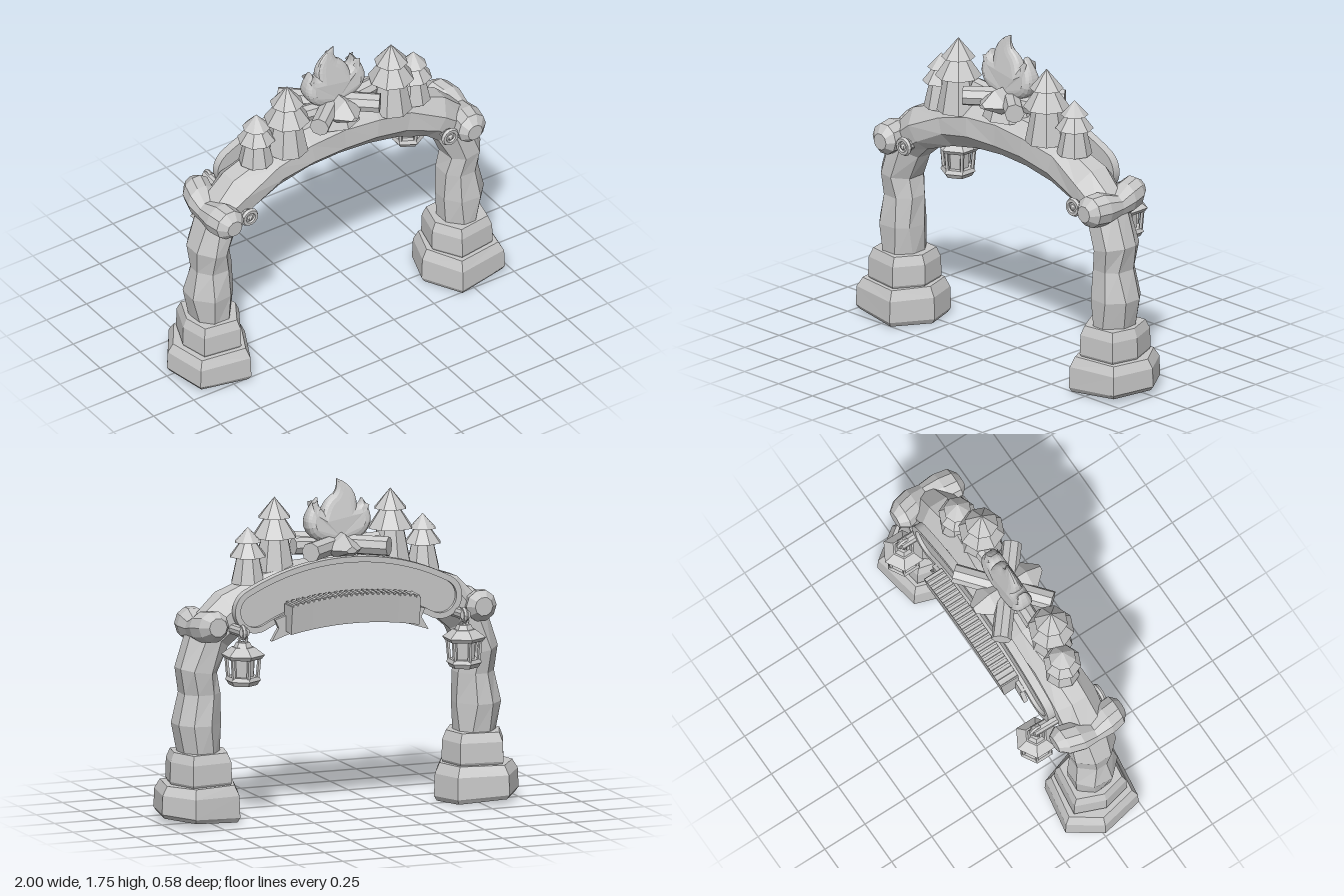
import * as THREE from 'three';

const stone = new THREE.MeshStandardMaterial({ color: 0xc8c8c8, flatShading: true, side: THREE.DoubleSide });
stone.name = 'plain grey';

const V = (x, y, z) => new THREE.Vector3(x, y, z);
const hash = (n) => { const s = Math.sin(n * 12.9898) * 43758.5453; return (s - Math.floor(s)) * 2 - 1; };

function add(parent, name, geo, x = 0, y = 0, z = 0) {
  const m = new THREE.Mesh(geo, stone);
  m.name = name;
  m.position.set(x, y, z);
  parent.add(m);
  return m;
}

// Skin over a list of rings with equal point counts, closed at both ends
function loft(rings) {
  const n = rings[0].length, pos = [], idx = [];
  rings.forEach((r) => r.forEach((p) => pos.push(p.x, p.y, p.z)));
  for (let i = 0; i < rings.length - 1; i++) {
    for (let j = 0; j < n; j++) {
      const a = i * n + j, b = i * n + (j + 1) % n, c = a + n, d = b + n;
      idx.push(a, c, b, b, c, d);
    }
  }
  const last = (rings.length - 1) * n;
  for (let j = 1; j < n - 1; j++) idx.push(0, j, j + 1, last, last + j + 1, last + j);
  const g = new THREE.BufferGeometry();
  g.setAttribute('position', new THREE.Float32BufferAttribute(pos, 3));
  g.setIndex(idx);
  const flat = g.toNonIndexed();
  flat.computeVertexNormals();
  return flat;
}

// Straight round bar from a to b
function bar(parent, name, a, b, r, sides = 8) {
  const m = add(parent, name, new THREE.CylinderGeometry(r, r, a.distanceTo(b), sides));
  m.position.copy(a).lerp(b, 0.5);
  m.quaternion.setFromUnitVectors(V(0, 1, 0), b.clone().sub(a).normalize());
  return m;
}

// Chamfered irregular block from a plan outline of [x, z] points
function block(parent, name, plan, cx, cz, y0, y1, tilt) {
  const h = y1 - y0;
  const steps = [[0, 0.93], [0.13, 1], [0.72, 0.98], [1, 0.86]];
  add(parent, name, loft(steps.map(([t, s]) => plan.map(([x, z]) =>
    V(cx + (x - cx) * s, y0 + t * h + (1 - t) * tilt * (x - cx), cz + (z - cz) * s)))));
}

// Faceted arch: [x, y, half thickness, half depth] for one side, then mirrored
function arch(parent) {
  const half = [[0.77, 0.33, 0.1, 0.115], [0.785, 0.52, 0.122, 0.13], [0.768, 0.68, 0.103, 0.11],
    [0.787, 0.8, 0.103, 0.125], [0.72, 0.98, 0.115, 0.115], [0.6, 1.09, 0.12, 0.125],
    [0.4, 1.165, 0.12, 0.11], [0.2, 1.21, 0.122, 0.12], [0, 1.222, 0.122, 0.115]];
  const path = [...half, ...half.slice(0, -1).reverse().map(([x, ...r]) => [-x, ...r])];
  const rings = path.map(([x, y, r, d], i) => {
    const p = path[Math.max(i - 1, 0)], q = path[Math.min(i + 1, path.length - 1)];
    const t = V(q[0] - p[0], q[1] - p[1], 0).normalize();
    return Array.from({ length: 8 }, (_, j) => {
      const a = (j + 0.5) * Math.PI / 4 + hash(i * 8 + j) * 0.13;
      const u = Math.cos(a) * r * 1.06, w = Math.sin(a) * d * 1.06;
      return V(x + t.y * u, y - t.x * u, 0.06 + w);
    });
  });
  add(parent, 'arch', loft(rings));
}

// Pine tree of two cones over a flared skirt
function pine(parent, x, z, base, tip, r) {
  const h = tip - base, g = new THREE.Group();
  g.name = 'pineTree';
  g.position.set(x, base, z);
  parent.add(g);
  const tier = (y0, y1, r0, r1) => add(g, 'foliage', new THREE.CylinderGeometry(r1, r0, (y1 - y0) * h, 8), 0, (y0 + y1) / 2 * h, 0);
  tier(-0.05, 0.55, r * 0.93, r * 0.55);
  tier(0.45, 0.78, r, r * 0.3);
  tier(0.72, 1, r * 0.73, 0);
}

function lantern(parent, x, y, z) {
  const g = new THREE.Group();
  g.name = 'lantern';
  g.position.set(x, y, z);
  parent.add(g);
  const drum = (name, y0, y1, r0, r1) => add(g, name, new THREE.CylinderGeometry(r1, r0, y1 - y0, 6), 0, (y0 + y1) / 2, 0);
  drum('lanternFoot', 0, 0.025, 0.075, 0.09);
  drum('lanternBase', 0.025, 0.045, 0.095, 0.085);
  drum('lanternGlass', 0.045, 0.15, 0.055, 0.06);
  drum('lanternEave', 0.14, 0.16, 0.1, 0.115);
  drum('lanternRoof', 0.16, 0.2, 0.115, 0.06);
  drum('lanternCap', 0.2, 0.225, 0.05, 0.035);
  for (let i = 0; i < 6; i++) {
    const c = Math.cos(i * Math.PI / 3 + Math.PI / 6), s = Math.sin(i * Math.PI / 3 + Math.PI / 6);
    bar(g, 'lanternPost', V(c * 0.077, 0.04, s * 0.077), V(c * 0.087, 0.15, s * 0.087), 0.011, 5);
  }
  add(g, 'chainLink', new THREE.TorusGeometry(0.022, 0.008, 5, 10), 0, 0.24, 0);
  add(g, 'hookRing', new THREE.TorusGeometry(0.03, 0.012, 6, 12), 0, 0.275, 0).rotation.y = Math.PI / 2;
}

// Everything that appears once on each side
function side(parent) {
  block(parent, 'lowerFootStone', [[1, 0.0], [0.95, 0.24], [0.66, 0.28], [0.55, 0.06], [0.61, -0.12], [0.88, -0.17]],
    0.77, 0.06, 0.02, 0.205, 0.07);
  block(parent, 'upperFootStone', [[0.935, 0.05], [0.9, 0.2], [0.69, 0.23], [0.6, 0.08], [0.64, -0.08], [0.87, -0.11]],
    0.77, 0.06, 0.195, 0.372, 0);

  // Waisted log wrapped across the shoulder
  const spine = [[0.75, 1.015, 0.262, 0.045], [0.755, 1.02, 0.225, 0.085], [0.765, 1.02, 0.15, 0.09], [0.785, 1.02, 0.06, 0.062],
    [0.77, 1.04, -0.02, 0.085], [0.75, 1.05, -0.1, 0.085], [0.745, 1.055, -0.15, 0.05]];
  add(parent, 'shoulderLog', loft(spine.map(([x, y, z, r]) => Array.from({ length: 10 }, (_, j) => {
    const a = j * Math.PI / 5;
    return V(x + Math.cos(a) * r, y + Math.sin(a) * r, z);
  }))));

  // Peg through the arch carrying the lantern
  bar(parent, 'lanternPeg', V(0.625, 1.01, 0.215), V(0.62, 1.03, -0.2), 0.03, 10);
  add(parent, 'pegRim', new THREE.TorusGeometry(0.037, 0.015, 6, 14), 0.625, 1.01, 0.21);
  add(parent, 'pegCentre', new THREE.SphereGeometry(0.016, 8, 6), 0.625, 1.01, 0.215);
  lantern(parent, 0.62, 0.752, -0.18);

  pine(parent, 0.325, 0.11, 1.29, 1.67, 0.122);
  pine(parent, 0.49, 0.07, 1.25, 1.53, 0.1);

  // Forked ribbon tail
  const tail = new THREE.Shape([[0.22, 1.13], [0.22, 1.03], [0.44, 0.957], [0.4, 1.025], [0.42, 1.07]].map(([x, y]) => new THREE.Vector2(x, y)));
  add(parent, 'ribbonTail', new THREE.ExtrudeGeometry(tail, { depth: 0.025, bevelEnabled: false }), 0, 0, -0.135);
}

// Bowed sign outline with round ends
const R = 1.1, A = 0.49;
function signOutline(w, Type) {
  const s = new Type(), cy = 1.25 - R, m = Math.PI / 2;
  s.absarc(0, cy, R + w, m - A, m + A, false);
  s.absarc(-R * Math.sin(A), cy + R * Math.cos(A), w, m + A, m + A + Math.PI, false);
  s.absarc(0, cy, R - w, m + A, m - A, true);
  s.absarc(R * Math.sin(A), cy + R * Math.cos(A), w, m - A - Math.PI, m - A, false);
  return s;
}

function sign(parent) {
  const rim = signOutline(0.118, THREE.Shape);
  rim.holes.push(signOutline(0.087, THREE.Path));
  add(parent, 'signRim', new THREE.ExtrudeGeometry(rim, { depth: 0.045, bevelEnabled: false, curveSegments: 20 }), 0, 0, -0.115);
  add(parent, 'signPanel', new THREE.ExtrudeGeometry(signOutline(0.09, THREE.Shape), { depth: 0.025, bevelEnabled: false, curveSegments: 20 }), 0, 0, -0.095);

  // Bowed ribbon block below the sign, with a ridged top
  const rings = [], drop = (x) => 0.28 * x * x;
  for (let i = 0; i <= 12; i++) {
    const x = -0.36 + i * 0.06, d = drop(x);
    rings.push([[1.045, -0.115], [1.185, -0.115], [1.185, -0.225], [1.035, -0.205]].map(([y, z]) => V(x, y - d, z)));
  }
  add(parent, 'ribbon', loft(rings));
  for (let i = 0; i < 24; i++) {
    const x = -0.345 + i * 0.03;
    add(parent, 'ribbonRidge', new THREE.BoxGeometry(0.018, 0.012, 0.108), x, 1.188 - drop(x), -0.172);
  }
}

function campfire(parent) {
  for (const s of [-1, 1]) {
    bar(parent, 'fireLog', V(s * 0.22, 1.41, -0.13), V(-s * 0.19, 1.41, 0.21), 0.052);
    bar(parent, 'sideLog', V(s * 0.07, 1.4, 0.07), V(s * 0.24, 1.41, 0.06), 0.045);
  }
  // Pointed log end in the middle
  const ring = (k, z) => [[0.1, 1.4], [0.055, 1.36], [-0.055, 1.36], [-0.1, 1.4], [0, 1.48]].reverse()
    .map(([x, y]) => V(x * k, 1.41 + (y - 1.41) * k, z));
  add(parent, 'centreLog', loft([ring(0.2, 0.26), ring(1, 0.17), ring(1, -0.06), ring(0.3, -0.16)]));
  add(parent, 'fireBed', new THREE.CylinderGeometry(0.11, 0.14, 0.08, 8), 0, 1.35, 0.06);

  // Flame with three tongues, thinning towards the tips
  const f = new THREE.Shape();
  f.moveTo(0, 1.42);
  f.bezierCurveTo(0.12, 1.42, 0.18, 1.47, 0.175, 1.54);
  f.quadraticCurveTo(0.17, 1.59, 0.115, 1.655);
  f.quadraticCurveTo(0.12, 1.61, 0.085, 1.585);
  f.quadraticCurveTo(0.07, 1.64, 0.02, 1.67);
  f.quadraticCurveTo(-0.01, 1.7, 0.0, 1.75);
  f.quadraticCurveTo(-0.11, 1.7, -0.1, 1.6);
  f.quadraticCurveTo(-0.13, 1.6, -0.14, 1.635);
  f.quadraticCurveTo(-0.19, 1.56, -0.17, 1.51);
  f.bezierCurveTo(-0.15, 1.45, -0.09, 1.42, 0, 1.42);
  const g = new THREE.ExtrudeGeometry(f, { depth: 0.04, bevelThickness: 0.035, bevelSize: 0.04, bevelOffset: -0.035, bevelSegments: 3, curveSegments: 6 });
  g.translate(0, 0, -0.02);
  const p = g.attributes.position;
  for (let i = 0; i < p.count; i++) p.setZ(i, p.getZ(i) * THREE.MathUtils.clamp((1.78 - p.getY(i)) / 0.24, 0.1, 1.1));
  g.computeVertexNormals();
  add(parent, 'flame', g, 0, 0, 0.05);
}

export function createModel() {
  const model = new THREE.Group();
  model.name = 'campGate';
  arch(model);
  sign(model);
  campfire(model);
  for (const s of [1, -1]) {
    const g = new THREE.Group();
    g.name = s > 0 ? 'leftSide' : 'rightSide';
    g.scale.x = s;
    side(g);
    model.add(g);
  }
  return model;
}
